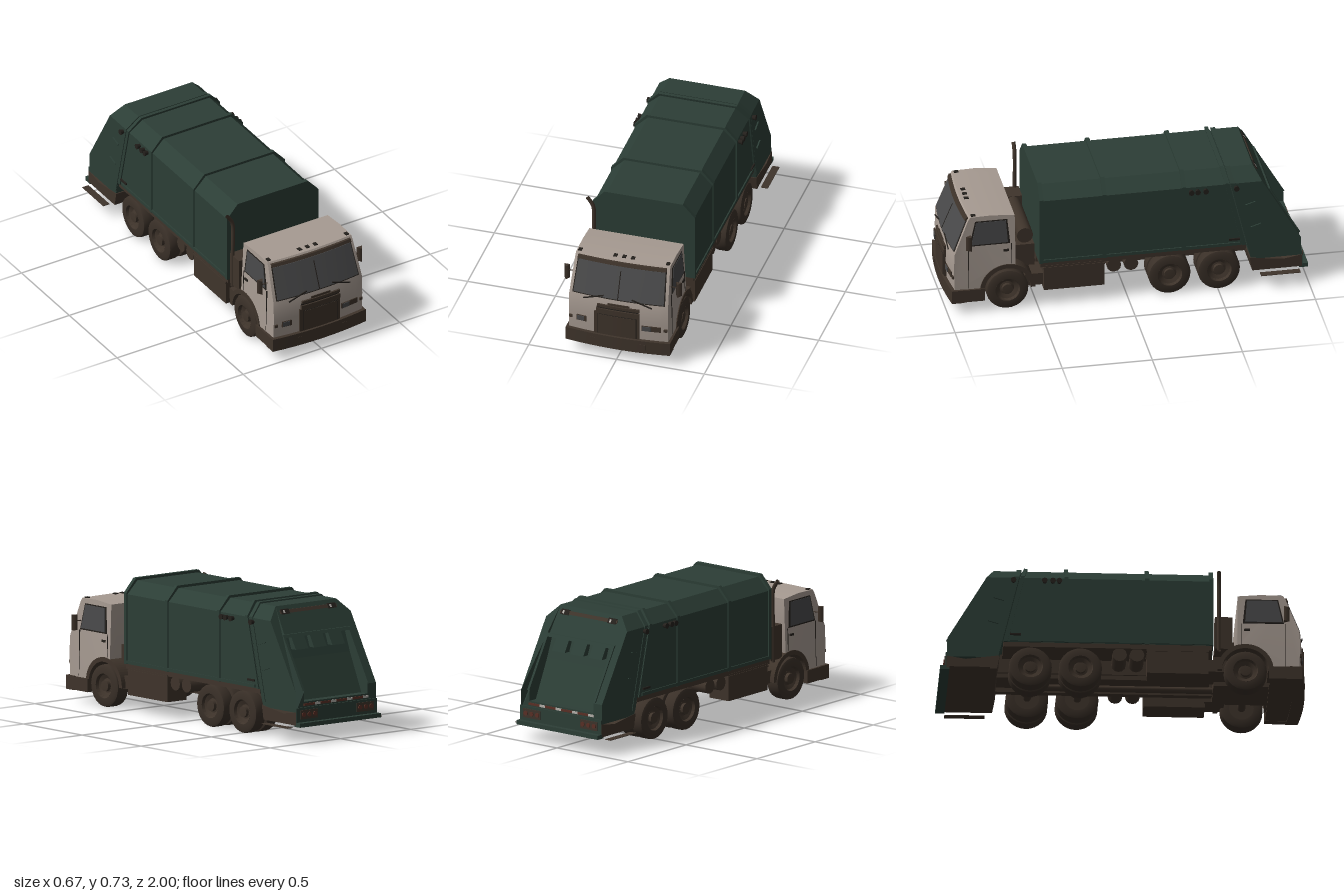
import * as THREE from 'three';
import { toCreasedNormals } from 'three/addons/utils/BufferGeometryUtils.js';

const mat = (name, color) => Object.assign(new THREE.MeshStandardMaterial({ color }), { name });
const M = {
  green: mat('body green', 0x2c3e36),
  cream: mat('cab cream', 0xa79b92),
  brown: mat('chassis brown', 0x3f342b),
  tyre: mat('tyre dark brown', 0x3a3028),
  glass: mat('window grey', 0x49494a),
  dark: mat('trim black', 0x24201c),
  red: mat('stripe red', 0x5a3026),
  white: mat('stripe white', 0xb5b0aa),
};
const clamp = THREE.MathUtils.clamp;

export function createModel() {
  const root = new THREE.Group();
  root.name = 'refuseTruck';
  const add = (name, geo, m, x = 0, y = 0, z = 0) => {
    const mesh = new THREE.Mesh(geo, m);
    mesh.name = name;
    mesh.position.set(x, y, z);
    root.add(mesh);
    return mesh;
  };
  // Box given by its extents
  const box = (name, m, x0, x1, y0, y1, z0, z1) =>
    add(name, new THREE.BoxGeometry(x1 - x0, y1 - y0, z1 - z0), m, (x0 + x1) / 2, (y0 + y1) / 2, (z0 + z1) / 2);
  // The same box on both sides
  const pair = (name, m, x0, x1, ...r) => {
    box(name + 'Left', m, x0, x1, ...r);
    box(name + 'Right', m, -x1, -x0, ...r);
  };
  const rodX = (name, m, r, len, x, y, z, n = 16) =>
    add(name, new THREE.CylinderGeometry(r, r, len, n).rotateZ(Math.PI / 2), m, x, y, z);
  const shapeOf = pts => new THREE.Shape(pts.map(p => new THREE.Vector2(...p)));
  const warp = (geo, rule) => {
    const p = geo.attributes.position;
    for (let i = 0; i < p.count; i++) p.setXYZ(i, ...rule(p.getX(i), p.getY(i), p.getZ(i)));
    geo.computeVertexNormals();
    return geo;
  };
  // Extrudes a (z, y) profile across the width
  const extrudeX = (shape, w, steps = 1) =>
    new THREE.ExtrudeGeometry(shape, { depth: w, steps, bevelEnabled: false, curveSegments: 16 })
      .translate(0, 0, -w / 2).rotateY(-Math.PI / 2);
  // Curves the cab front and narrows its top
  const bow = geo => toCreasedNormals(warp(geo, (x, y, z) => [
    x * (1 - 0.05 * clamp((y - 0.35) / 0.23, 0, 1)), y,
    z - 0.02 * clamp((z - 0.75) / 0.2, 0, 1) * (x / 0.28) ** 2]), 0.5);
  const bowBox = (name, m, x0, x1, y0, y1, z0, z1) => add(name, bow(
    new THREE.BoxGeometry(x1 - x0, y1 - y0, z1 - z0, 12, 1, 4)
      .translate((x0 + x1) / 2, (y0 + y1) / 2, (z0 + z1) / 2)), m);

  // Cab shell with wheel arch
  const cab = new THREE.Shape();
  cab.moveTo(0.8, 0.14);
  [[0.98, 0.14], [0.985, 0.25], [0.982, 0.36], [0.9, 0.56], [0.885, 0.58], [0.75, 0.583], [0.625, 0.572], [0.622, 0.27]]
    .forEach(p => cab.lineTo(...p));
  cab.absarc(0.667, 0.125, 0.15, 1.87, 0.1, true);
  add('cab', bow(extrudeX(cab, 0.565, 12)), M.cream);
  const fender = new THREE.Shape();
  fender.absarc(0.667, 0.125, 0.153, 0, Math.PI, false);
  fender.absarc(0.667, 0.125, 0.128, Math.PI, 0, true);
  add('frontFender', extrudeX(fender, 0.575), M.brown);
  box('cabFloor', M.brown, -0.27, 0.27, 0.125, 0.145, 0.79, 0.93);
  box('underPan', M.brown, -0.256, 0.256, 0.072, 0.084, 0.8, 0.94);

  // Windscreen layers lying on the sloping front
  const zAt = y => 0.982 - 0.41 * (y - 0.36);
  const slope = (name, m, y0, y1, w, t, x = 0) => add(name, bow(extrudeX(shapeOf(
    [[zAt(y0) - 0.002, y0], [zAt(y0) + t, y0], [zAt(y1) + t, y1], [zAt(y1) - 0.002, y1]]), w, 12).translate(x, 0, 0)), m);
  slope('windscreenFrame', M.dark, 0.373, 0.557, 0.53, 0.003);
  slope('windscreen', M.glass, 0.379, 0.55, 0.518, 0.006);
  slope('windscreenDivider', M.dark, 0.38, 0.53, 0.005, 0.008);
  slope('sunVisor', M.brown, 0.555, 0.572, 0.53, 0.012);

  for (const s of [1, -1]) {
    const side = s > 0 ? 'Left' : 'Right';
    // Door window, frame, seams and handle
    const plate = (name, m, pts, x) => add(name + side, bow(extrudeX(shapeOf(pts), 0.006).translate(s * x, 0, 0)), m);
    plate('doorWindowFrame', M.dark, [[0.652, 0.407], [0.892, 0.407], [0.856, 0.553], [0.667, 0.553]], 0.2815);
    plate('doorWindow', M.glass, [[0.665, 0.415], [0.882, 0.415], [0.85, 0.547], [0.675, 0.547]], 0.284);
    plate('doorFrontSeam', M.dark, [[0.897, 0.15], [0.9, 0.15], [0.9, 0.405], [0.897, 0.405]], 0.281);
    plate('doorRearSeam', M.dark, [[0.643, 0.28], [0.646, 0.28], [0.646, 0.405], [0.643, 0.405]], 0.281);
    plate('doorHandle', M.dark, [[0.66, 0.36], [0.69, 0.36], [0.69, 0.372], [0.66, 0.372]], 0.284);
    // Wedge-shaped mirror on a thin arm
    add('mirror' + side, new THREE.CylinderGeometry(0.019, 0.019, 0.085, 3), M.brown, s * 0.318, 0.447, 0.885);
    rodX('mirrorArm' + side, M.brown, 0.003, 0.04, s * 0.288, 0.455, 0.88, 6);
    bowBox('indicator' + side, M.brown, s * 0.27 - 0.009, s * 0.27 + 0.009, 0.212, 0.228, 0.95, 0.992);
    const wiper = add('wiper' + side, new THREE.BoxGeometry(0.12, 0.006, 0.006), M.dark, s * 0.138, 0.375, 0.98);
    wiper.rotation.z = -s * 0.3;
  }
  // Headlamps
  bowBox('headlampSurroundRight', M.brown, -0.235, -0.178, 0.205, 0.238, 0.95, 0.99);
  bowBox('headlampSurroundLeft', M.brown, 0.138, 0.245, 0.207, 0.238, 0.95, 0.99);
  bowBox('headlampRight', M.glass, -0.232, -0.19, 0.209, 0.236, 0.95, 0.994);
  bowBox('headlampLeft', M.glass, 0.143, 0.19, 0.209, 0.236, 0.95, 0.994);
  for (const x of [-0.25, -0.05, 0, 0.05, 0.25]) box('roofMarker', M.dark, x - 0.01, x + 0.01, 0.572, 0.586, 0.84, 0.865);

  // Grille and bumper
  bowBox('grille', M.brown, -0.13, 0.125, 0.15, 0.29, 0.94, 0.994);
  bowBox('grilleTop', M.brown, -0.12, 0.125, 0.288, 0.314, 0.94, 0.998);
  bowBox('grilleSlot', M.dark, -0.118, 0.12, 0.314, 0.322, 0.94, 0.99);
  bowBox('grilleLedge', M.brown, -0.115, 0.125, 0.322, 0.338, 0.94, 0.993);
  bowBox('hoodCrest', M.brown, -0.055, 0.068, 0.338, 0.35, 0.94, 0.986);
  bowBox('grillePanel', M.dark, -0.11, 0.11, 0.152, 0.28, 0.95, 0.9955);
  bowBox('grilleInset', M.brown, -0.107, 0.107, 0.153, 0.277, 0.95, 0.9975);
  bowBox('bumper', M.brown, -0.297, 0.297, 0.068, 0.145, 0.93, 1.0);
  pair('bumperEnd', M.brown, 0.255, 0.295, 0.07, 0.143, 0.795, 0.94);
  for (const x of [-0.14, 0.145]) bowBox('bumperSocket', M.brown, x - 0.017, x + 0.017, 0.088, 0.122, 0.95, 1.0015);

  // Load body and tailgate share a chamfered section
  const section = (y0, g = 0) => [[0.285 + g * 0.5, y0], [0.285 + g * 0.5, 0.28], [0.285 + g * 0.5, 0.65 + g * 0.6],
    [0.215 + g * 0.6, 0.72 + g], [-0.215 - g * 0.6, 0.72 + g], [-0.285 - g * 0.5, 0.65 + g * 0.6],
    [-0.285 - g * 0.5, 0.28], [-0.285 - g * 0.5, y0]];
  const loft = (shape, front, back) => warp(new THREE.ExtrudeGeometry(shape, { depth: 1, bevelEnabled: false }),
    (x, y, z) => [x, y, z > 0.5 ? front(y) : back(y)]);
  const lean = z => y => z - (0.72 - y) * 0.24;
  const flat = z => () => z;
  add('loadBody', loft(shapeOf(section(0.265)), flat(0.48), lean(-0.548)), M.green);
  for (const z of [0.48, 0.13, -0.31])
    add('bodyRib', loft(shapeOf(section(0.265, 0.014)), flat(z + 0.011), flat(z - 0.011)), M.green);
  add('bodyRearRib', loft(shapeOf(section(0.265, 0.014)), lean(-0.523), lean(-0.543)), M.green);
  add('tailgateRib', loft(shapeOf(section(0.2, 0.008)), lean(-0.554), lean(-0.58)), M.green);
  pair('bodyBottomRail', M.green, 0.28, 0.292, 0.268, 0.285, -0.62, 0.48);
  const rear = y => (y > 0.28 ? -0.705 - (0.72 - y) * 0.58 : -0.96);
  const gate = shapeOf(section(0.17));
  gate.holes.push(new THREE.Path([[-0.225, 0.225], [-0.225, 0.28], [-0.225, 0.56], [0.225, 0.56], [0.225, 0.28], [0.225, 0.225]]
    .map(p => new THREE.Vector2(...p))));
  add('tailgate', loft(gate, lean(-0.552), rear), M.green);

  // Hopper interior: packer blade and brackets
  add('packerBlade', extrudeX(shapeOf([[-0.69, 0.57], [-0.76, 0.57], [-0.81, 0.44], [-0.91, 0.22], [-0.7, 0.22]]), 0.452), M.green);
  for (const x of [-0.13, 0, 0.13])
    add('bladeBracket', extrudeX(shapeOf([[-0.755, 0.56], [-0.79, 0.56], [-0.83, 0.49], [-0.785, 0.49]]), 0.09), M.green, x);
  // Parts lying on the sloping rear face
  const onRear = (name, m, x0, x1, y0, y1, t) => add(name, extrudeX(shapeOf(
    [[rear(y0), y0], [rear(y1), y1], [rear(y1) - t, y1], [rear(y0) - t, y0]]), x1 - x0), m, (x0 + x1) / 2);
  onRear('rearLightBar', M.brown, -0.2, 0.2, 0.68, 0.697, 0.005);
  onRear('hopperTopLip', M.green, -0.24, 0.24, 0.558, 0.575, 0.01);
  for (const x of [-0.165, 0.165]) {
    onRear('upperLamp', M.dark, x - 0.028, x + 0.028, 0.676, 0.702, 0.007);
    onRear('upperLampLens', M.white, x + 0.004, x + 0.016, 0.682, 0.697, 0.009);
  }
  for (const x of [-0.232, 0.232]) onRear('hopperSideLip', M.green, x - 0.007, x + 0.007, 0.285, 0.558, 0.008);
  for (let i = 0; i < 12; i++)
    onRear('hazardStripe', i % 3 ? M.red : M.white, -0.228 + i * 0.038, -0.19 + i * 0.038, 0.203, 0.216, 0.005);
  for (const s of [1, -1]) {
    box('tailLampPanel', M.brown, s * 0.2 - 0.06, s * 0.2 + 0.06, 0.132, 0.182, -0.974, -0.95);
    for (const k of [0.16, 0.2, 0.24])
      add('tailLamp', new THREE.CylinderGeometry(0.013, 0.013, 0.006, 12).rotateX(Math.PI / 2), M.red, s * k, 0.157, -0.976);
    // Work lamps, latches and side hardware
    for (const z of [-0.35, -0.385, -0.43, -0.6])
      add('workLamp', new THREE.CylinderGeometry(0.016, 0.011, 0.024, 8).rotateZ(s * -Math.PI / 2), M.dark, s * 0.298, 0.628, z);
    for (const [y, z] of [[0.52, -0.68], [0.38, -0.71]]) {
      const latch = add('tailgateLatch', new THREE.BoxGeometry(0.01, 0.005, 0.06), M.green, s * 0.288, y, z);
      latch.rotation.x = 0.3;
    }
    box('sideMarker', M.dark, s * 0.293 - 0.004, s * 0.293 + 0.004, 0.302, 0.313, -0.62, -0.56);
  }

  // Rear base and steps
  add('tailgateBase', extrudeX(shapeOf([[-0.675, 0.18], [-0.69, 0.1], [-0.965, 0.1], [-0.965, 0.172], [-0.86, 0.155]]), 0.576), M.brown);
  box('baseRearPanel', M.green, -0.286, 0.286, 0.115, 0.195, -0.969, -0.96);
  box('rearStep', M.green, -0.287, 0.287, 0.092, 0.115, -1.0, -0.95);
  pair('sideStep', M.brown, 0.297, 0.337, 0.086, 0.089, -0.95, -0.73);

  // Chassis
  box('subframe', M.brown, -0.12, 0.12, 0.155, 0.265, -0.68, 0.48);
  box('bodyFloor', M.brown, -0.282, 0.282, 0.238, 0.27, -0.655, 0.485);
  pair('chassisRail', M.brown, 0.075, 0.11, 0.13, 0.2, -0.7, 0.93);
  pair('sideTank', M.brown, 0.15, 0.284, 0.095, 0.245, 0.13, 0.465);
  pair('tankRim', M.brown, 0.15, 0.287, 0.225, 0.235, 0.127, 0.468);
  pair('cabLink', M.brown, 0.13, 0.26, 0.12, 0.19, 0.46, 0.57);
  box('engine', M.brown, -0.12, 0.12, 0.1, 0.25, 0.5, 0.9);
  for (const s of [1, -1]) for (const z of [0.075, -0.02]) rodX('airTank', M.brown, 0.04, 0.14, s * 0.205, 0.205, z, 12);
  add('driveShaft', new THREE.CylinderGeometry(0.018, 0.018, 1, 10).rotateX(Math.PI / 2), M.brown, 0, 0.125, 0);

  // Equipment between cab and body
  box('airBox', M.brown, -0.28, -0.17, 0.25, 0.44, 0.5, 0.595);
  rodX('airFilter', M.brown, 0.045, 0.36, 0.02, 0.4, 0.555);
  box('coolerBox', M.brown, -0.15, 0.21, 0.22, 0.35, 0.505, 0.61);
  const stack = new THREE.CatmullRomCurve3([[-0.275, 0.24], [-0.275, 0.45], [-0.275, 0.635], [-0.285, 0.665], [-0.31, 0.7]]
    .map(([x, y]) => new THREE.Vector3(x, y, 0.522)));
  add('exhaustStack', new THREE.TubeGeometry(stack, 24, 0.011, 10), Object.assign(M.brown, { side: THREE.DoubleSide }));

  // Wheels: a lathed tyre with a dished rim and hub
  const wheel = (name, s, x, z, w) => {
    const g = new THREE.Group();
    g.name = name;
    const h = w / 2;
    const tyre = new THREE.LatheGeometry([[0.068, -h], [0.1, -h], [0.114, -h * 0.85], [0.117, -h * 0.6], [0.117, h * 0.6],
      [0.114, h * 0.85], [0.1, h], [0.068, h], [0.062, h * 0.6]].map(p => new THREE.Vector2(...p)), 28);
    const rim = new THREE.LatheGeometry([[0.068, h], [0.062, h * 0.6], [0.04, h * 0.35], [0.03, h * 0.4], [0.03, h * 0.85], [0.0, h * 0.9]]
      .map(p => new THREE.Vector2(...p)), 20);
    const back = new THREE.CylinderGeometry(0.07, 0.07, w * 0.6, 20).translate(0, -h * 0.35, 0);
    for (const [n, geo, m] of [['tyre', toCreasedNormals(tyre, 0.6), M.tyre], ['rim', toCreasedNormals(rim, 0.6), M.brown], ['drum', back, M.brown]]) {
      const mesh = new THREE.Mesh(geo, m);
      mesh.name = n;
      g.add(mesh);
    }
    g.rotation.z = -s * Math.PI / 2;
    g.position.set(s * x, 0.12, z);
    root.add(g);
  };
  for (const s of [1, -1]) {
    wheel('frontWheel', s, 0.246, 0.667, 0.085);
    for (const z of [-0.233, -0.507]) {
      wheel('rearOuterWheel', s, 0.249, z, 0.078);
      wheel('rearInnerWheel', s, 0.164, z, 0.078);
    }
  }
  for (const z of [0.667, -0.233, -0.507]) rodX('axle', M.brown, 0.022, 0.44, 0, 0.12, z);
  for (const z of [-0.233, -0.507]) add('differential', new THREE.SphereGeometry(0.055, 14, 10), M.brown, 0, 0.12, z);
  return root;
}
